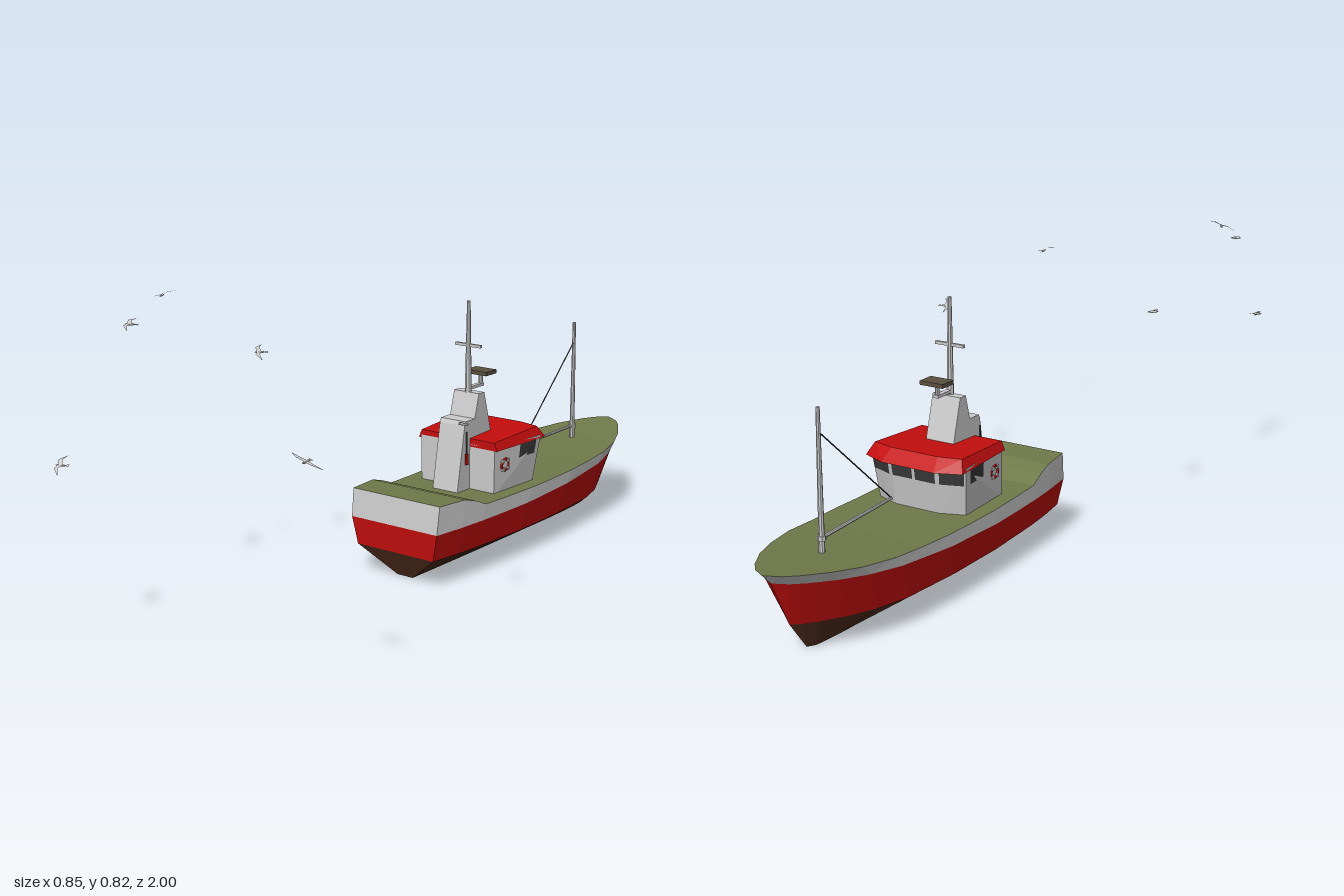
import * as THREE from 'three';
import { ConvexGeometry } from 'three/addons/geometries/ConvexGeometry.js';

const mat = (color) => new THREE.MeshStandardMaterial({ color, flatShading: true, side: THREE.DoubleSide });
const grey = mat(0xcccccc), red = mat(0xc40d0d), brown = mat(0x55301f);
const green = mat(0x707a4a), dark = mat(0x3a3a3a), radarBrown = mat(0x5a5040);
const V = (x, y, z) => new THREE.Vector3(x, y, z);

function add(group, name, geometry, material, x = 0, y = 0, z = 0) {
  const mesh = new THREE.Mesh(geometry, material);
  mesh.name = name;
  mesh.position.set(x, y, z);
  group.add(mesh);
  return mesh;
}

// Skin between two rows of points
function loft(a, b) {
  const pos = [];
  for (let i = 0; i < a.length - 1; i++) {
    for (const p of [a[i], a[i + 1], b[i + 1], a[i], b[i + 1], b[i]]) pos.push(p.x, p.y, p.z);
  }
  const g = new THREE.BufferGeometry();
  g.setAttribute('position', new THREE.Float32BufferAttribute(pos, 3));
  g.computeVertexNormals();
  return g;
}

// Piecewise linear lookup in [key, value] pairs with rising keys
function lerpTable(table, k) {
  for (let i = 1; i < table.length; i++) {
    const [k0, v0] = table[i - 1], [k1, v1] = table[i];
    if (k <= k1) return v0 + (v1 - v0) * Math.max(0, (k - k0) / (k1 - k0));
  }
  return table[table.length - 1][1];
}

// Round bar between two points
function bar(group, name, a, b, r0, r1, material = grey) {
  const mesh = add(group, name, new THREE.CylinderGeometry(r1, r0, a.distanceTo(b), 8), material);
  mesh.position.copy(a).lerp(b, 0.5);
  mesh.quaternion.setFromUnitVectors(V(0, 1, 0), b.clone().sub(a).normalize());
  return mesh;
}

const mirrored = (pts) => pts.concat(pts.map((p) => V(-p.x, p.y, p.z)));

function buildHull(boat) {
  // Plan shape from stern (0) to bow (1)
  const plan = [[0, 0.84], [0.09, 0.91], [0.17, 0.95], [0.36, 1], [0.55, 0.99], [0.73, 0.92],
    [0.82, 0.79], [0.89, 0.61], [0.95, 0.38], [0.98, 0.22], [1, 0]];
  const redTop = [[-0.97, 0.205], [-0.8, 0.19], [-0.5, 0.167], [-0.25, 0.158], [0.11, 0.157]];
  const sheer = [[-1, 0.235], [-0.8, 0.217], [-0.6, 0.205], [-0.4, 0.2], [-0.09, 0.2],
    [-0.05, 0.218], [0, 0.233], [0.1, 0.235]];
  const levels = [
    { stern: 0.06, bow: -0.85, half: 0.028, power: 0.5, y: () => 0 },
    { stern: 0.105, bow: -0.91, half: 0.16, power: 1.25, y: () => 0.08 },
    { stern: 0.11, bow: -0.97, half: 0.174, power: 1.05, y: (z) => lerpTable(redTop, z) },
    { stern: 0.1, bow: -1, half: 0.175, power: 1, y: (z) => lerpTable(sheer, z) },
  ];
  const stations = [0, 0.045, 0.09, 0.13, 0.17, 0.26, 0.36, 0.45, 0.55, 0.64, 0.73, 0.82, 0.89, 0.95, 0.98, 1];
  const rows = levels.map((l) => stations.map((t) => {
    const z = l.stern + (l.bow - l.stern) * t;
    return V(l.half * Math.pow(lerpTable(plan, t), l.power), l.y(z), z);
  }));
  const flip = (row) => row.map((p) => V(-p.x, p.y, p.z));
  const bands = [['bottom', brown], ['topside', red], ['bulwark', grey]];
  bands.forEach(([name, material], i) => {
    const lo = rows[i], hi = rows[i + 1];
    add(boat, name + 'Left', loft(lo, hi), material);
    add(boat, name + 'Right', loft(flip(hi), flip(lo)), material);
    const edge = [lo[0], hi[0]];
    add(boat, name + 'Transom', loft(edge, flip(edge)), material);
  });
  add(boat, 'keel', loft(flip(rows[0]), rows[0]), brown);
  add(boat, 'deck', loft(rows[3], flip(rows[3])), green);
}

function buildWheelhouse(boat) {
  // Wall outline, back left round the front to back right
  const outline = (back, side, front, y, z) => {
    const half = [V(back, y, -0.18), V(side, y, z + 0.025), V(front, y, z)];
    return half.concat(half.slice().reverse().map((p) => V(-p.x, p.y, p.z)));
  };
  const low = outline(0.125, 0.132, 0.065, 0.19, -0.385);
  const high = outline(0.127, 0.146, 0.072, 0.33, -0.405);
  add(boat, 'wheelhouse', new ConvexGeometry([...low, ...high]), grey);

  // Windows sit just proud of the flared walls
  const wallPoint = (seg, u, h) => {
    const p = low[seg].clone().lerp(low[seg + 1], u).lerp(high[seg].clone().lerp(high[seg + 1], u), h);
    return V(p.x * 1.015, p.y, -0.28 + (p.z + 0.28) * 1.015);
  };
  const panes = [[0, 0.55, 0.9], [1, 0.08, 0.92], [2, 0.04, 0.47], [2, 0.53, 0.96], [3, 0.08, 0.92], [4, 0.1, 0.45]];
  for (const [seg, u0, u1] of panes) {
    const row = (h) => [wallPoint(seg, u0, h), wallPoint(seg, u1, h)];
    add(boat, 'window', loft(row(0.66), row(0.95)), dark);
  }

  // Roof with a sloping visor
  add(boat, 'roof', new ConvexGeometry(mirrored([
    V(0.135, 0.322, -0.18), V(0.148, 0.322, -0.40), V(0.08, 0.322, -0.428),
    V(0.125, 0.345, -0.18), V(0.133, 0.354, -0.38), V(0.07, 0.354, -0.395),
  ])), red);

  // Life rings on the side walls
  for (const s of [-1, 1]) {
    const ring = add(boat, 'lifeRing', new THREE.TorusGeometry(0.016, 0.004, 6, 16), red, s * 0.131, 0.275, -0.225);
    ring.rotation.y = Math.PI / 2;
    for (let i = 0; i < 4; i++) {
      const a = Math.PI * (0.25 + i / 2);
      add(boat, 'lifeRingBand', new THREE.BoxGeometry(0.01, 0.009, 0.009), grey,
        s * 0.131, 0.275 + 0.016 * Math.sin(a), -0.225 + 0.016 * Math.cos(a));
    }
  }
}

function buildFunnelAndMast(boat) {
  // Stepped funnel casing, profile in (z, y)
  const profile = [[-0.12, 0.19], [-0.155, 0.385], [-0.16, 0.397], [-0.203, 0.397], [-0.222, 0.465],
    [-0.248, 0.465], [-0.283, 0.34], [-0.283, 0.19]];
  const shape = new THREE.Shape(profile.map(([z, y]) => new THREE.Vector2(-z, y)));
  const geometry = new THREE.ExtrudeGeometry(shape, { depth: 0.085, bevelEnabled: false });
  geometry.translate(0, 0, -0.0425).rotateY(Math.PI / 2);
  add(boat, 'funnel', geometry, grey);
  for (const s of [-1, 1]) {
    add(boat, 'extinguisher', new THREE.CylinderGeometry(0.005, 0.005, 0.03, 8), red, s * 0.047, 0.29, -0.16);
    bar(boat, 'ventPipe', V(s * 0.046, 0.3, -0.16), V(s * 0.046, 0.368, -0.16), 0.002, 0.002, dark);
  }

  bar(boat, 'mast', V(0, 0.45, -0.23), V(0, 0.722, -0.23), 0.01, 0.005);
  add(boat, 'crosstree', new THREE.BoxGeometry(0.086, 0.008, 0.008), grey, 0, 0.597, -0.23);
  add(boat, 'radarBracket', new THREE.BoxGeometry(0.014, 0.008, 0.07), grey, 0, 0.474, -0.262);
  bar(boat, 'radarStalk', V(0, 0.472, -0.29), V(0, 0.508, -0.29), 0.006, 0.006);
  add(boat, 'radar', new THREE.BoxGeometry(0.07, 0.011, 0.05), radarBrown, 0, 0.511, -0.292);
}

function buildForeRig(boat) {
  const boomEnd = V(0.012, 0.255, -0.48);
  bar(boat, 'foremast', V(0, 0.2, -0.78), V(0, 0.575, -0.78), 0.008, 0.005);
  bar(boat, 'boom', V(0, 0.252, -0.78), boomEnd, 0.005, 0.004);
  bar(boat, 'stay', V(0, 0.515, -0.78), boomEnd, 0.0018, 0.0018, dark);
  add(boat, 'mastCollar', new THREE.CylinderGeometry(0.011, 0.011, 0.012, 8), grey, 0, 0.252, -0.78);
}

// Gull with unit half span along x, facing +z
function buildBird(centre, wing) {
  const bird = new THREE.Group();
  bird.name = 'bird';
  const body = add(bird, 'body', new THREE.SphereGeometry(1, 8, 6), grey);
  body.scale.set(0.09, 0.08, 0.36);
  add(bird, 'tail', loft([V(0.04, 0, -0.25), V(0.14, 0, -0.55)], [V(-0.04, 0, -0.25), V(-0.14, 0, -0.55)]), grey);
  const lead = [V(0, 0.05, 0.18), V(0.45, 0.1, 0.28), V(1, 0, -0.12)];
  const trail = [V(0, 0.05, -0.12), V(0.45, 0.1, 0.02), V(1, 0, -0.16)];
  for (const s of [-1, 1]) {
    const w = (row) => row.map((p) => V(p.x * s, p.y, p.z));
    add(bird, 'wing', s > 0 ? loft(w(lead).reverse(), w(trail).reverse()) : loft(w(lead), w(trail)), grey);
  }
  const x = wing.clone().normalize();
  const z = x.clone().cross(V(0, 1, 0)).normalize();
  bird.quaternion.setFromRotationMatrix(new THREE.Matrix4().makeBasis(x, z.clone().cross(x), z));
  bird.scale.setScalar(wing.length());
  bird.position.copy(centre);
  return bird;
}

export function createModel() {
  const model = new THREE.Group();
  const boat = new THREE.Group();
  boat.name = 'boat';
  boat.position.x = -0.01;
  buildHull(boat);
  buildWheelhouse(boat);
  buildFunnelAndMast(boat);
  buildForeRig(boat);
  model.add(boat);

  // Flock: centre and wing tip direction
  const flock = [
    [V(-0.335, 0.62, 0.27), V(0.026, -0.013, 0.028)],
    [V(0.36, 0.538, 0.305), V(0.017, 0.012, 0.033)],
    [V(-0.39, 0.81, 0.567), V(0.032, 0.013, -0.016)],
    [V(-0.383, 0.755, 0.685), V(0.017, -0.008, 0.035)],
    [V(-0.337, 0.465, 0.968), V(0.015, -0.015, 0.031)],
    [V(0.39, 0.587, 0.918), V(0.038, -0.014, -0.006)],
  ];
  for (const [centre, wing] of flock) model.add(buildBird(centre, wing));
  return model;
}
